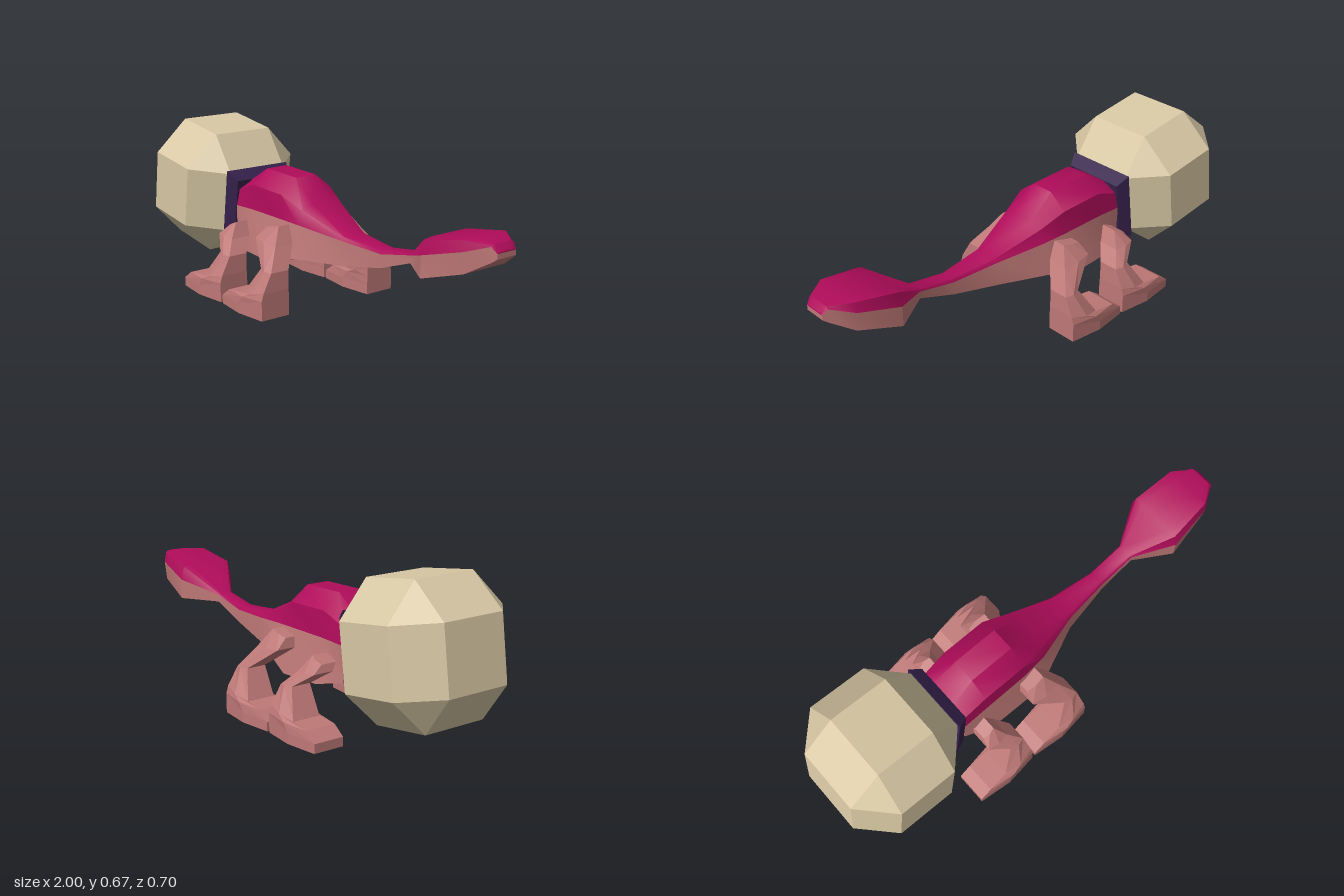
import * as THREE from 'three';
import { toCreasedNormals } from 'three/addons/utils/BufferGeometryUtils.js';
import { ConvexGeometry } from 'three/addons/geometries/ConvexGeometry.js';

const paint = (color, flatShading = true) => new THREE.MeshStandardMaterial({ color, flatShading });

// Skin a list of cross-sections (each counter-clockwise about the direction of travel) and cap both ends
function loft(rings) {
  const n = rings[0].length, last = (rings.length - 1) * n, index = [];
  for (let i = 0; i < rings.length - 1; i++) {
    for (let j = 0; j < n; j++) {
      const a = i * n + j, b = i * n + (j + 1) % n;
      index.push(a, b, b + n, a, b + n, a + n);
    }
  }
  for (let j = 1; j < n - 1; j++) index.push(0, j + 1, j, last, last + j, last + j + 1);
  const geometry = new THREE.BufferGeometry();
  geometry.setAttribute('position', new THREE.Float32BufferAttribute(rings.flat(2), 3));
  geometry.setIndex(index);
  return geometry;
}

function addMesh(parent, name, geometry, material) {
  const mesh = new THREE.Mesh(geometry, material);
  mesh.name = name;
  parent.add(mesh);
  return mesh;
}

// Body stations: x, then height and half width of the top, shoulder, colour line and underside
const BODY = [
  [-0.43, 0.44, 0.06, 0.41, 0.12, 0.345, 0.13, 0.2, 0.125],
  [-0.31, 0.515, 0.05, 0.455, 0.125, 0.35, 0.13, 0.175, 0.165],
  [-0.11, 0.51, 0.05, 0.45, 0.125, 0.35, 0.13, 0.168, 0.168],
  [0, 0.42, 0.05, 0.4, 0.1, 0.345, 0.12, 0.212, 0.15],
  [0.2, 0.335, 0.03, 0.33, 0.05, 0.315, 0.06, 0.215, 0.065],
  [0.4, 0.322, 0.02, 0.318, 0.03, 0.305, 0.035, 0.25, 0.035],
  [0.565, 0.348, 0.02, 0.346, 0.03, 0.34, 0.035, 0.31, 0.035],
  [0.72, 0.455, 0.08, 0.45, 0.115, 0.395, 0.13, 0.31, 0.13],
  [0.9, 0.49, 0.06, 0.485, 0.1, 0.445, 0.11, 0.365, 0.1],
  [0.98, 0.48, 0.03, 0.478, 0.045, 0.472, 0.055, 0.415, 0.055],
  [1, 0.455, 0.03, 0.452, 0.04, 0.45, 0.045, 0.43, 0.045],
];

// Leg levels: toe-side x, y, heel-side x, y, inner z, outer z
const FOOT = [
  [-0.53, 0, -0.25, 0, 0.187, 0.352],
  [-0.53, 0.037, -0.25, 0.045, 0.187, 0.352],
  [-0.48, 0.073, -0.25, 0.08, 0.187, 0.352],
  [-0.39, 0.08, -0.25, 0.11, 0.19, 0.342],
  [-0.325, 0.19, -0.256, 0.185, 0.19, 0.295],
];
const FRONT_THIGH = [
  [-0.4, 0.245, -0.305, 0.24, 0.14, 0.25],
  [-0.39, 0.275, -0.337, 0.3, 0.12, 0.205],
];
const REAR_THIGH = [
  [-0.445, 0.28, -0.31, 0.27, 0.13, 0.235],
  [-0.435, 0.32, -0.35, 0.34, 0.12, 0.185],
];

function legGeometry(thigh) {
  return loft([...FOOT, ...thigh].map(([xf, yf, xb, yb, z0, z1]) => {
    const xm = (xf + xb) / 2, ym = (yf + yb) / 2, inset = (z1 - z0) * 0.1;
    return [
      [xf, yf, z1 - inset], [xm, ym, z1], [xb, yb, z1 - inset],
      [xb, yb, z0 + inset], [xm, ym, z0], [xf, yf, z0 + inset],
    ];
  }));
}

export function createModel() {
  const model = new THREE.Group();
  model.name = 'clubTailedCreature';
  const pink = paint(0xbd7876);

  // Back and belly, meeting along the colour line and running on into the club tail
  const back = BODY.map(([x, ty, tz, sy, sz, my, mz]) => [
    [x, my, -mz], [x, sy, -sz], [x, ty, -tz], [x, ty, tz], [x, sy, sz], [x, my, mz],
  ]);
  const belly = BODY.map(([x, , , , , my, mz, by, bz]) => [
    [x, my, mz], [x, by, bz], [x, by, -bz], [x, my, -mz],
  ]);
  addMesh(model, 'back', toCreasedNormals(loft(back), 0.65), paint(0xb00c5a, false));
  addMesh(model, 'belly', toCreasedNormals(loft(belly), 0.65), paint(0xbd7876, false));

  // Faceted head: a cube with its edges and corners cut off
  const points = [];
  for (const sx of [-1, 1]) for (const sy of [-1, 1]) for (const sz of [-1, 1]) {
    for (const wide of [0, 1, 2]) {
      points.push(new THREE.Vector3(
        sx * (wide === 0 ? 0.256 : 0.127),
        sy * (wide === 1 ? 0.268 : 0.129),
        sz * (wide === 2 ? 0.272 : 0.137)));
    }
  }
  const head = addMesh(model, 'head', new ConvexGeometry(points), paint(0xd8c8a4));
  head.position.set(-0.73, 0.382, 0);
  head.rotation.z = -0.139;

  // Tapered collar between head and body
  const collarRing = (xt, yt, xb, yb, z) => [[xt, yt, -z], [xt, yt, z], [xb, yb, z], [xb, yb, -z]];
  addMesh(model, 'collar', loft([
    collarRing(-0.46, 0.49, -0.5, 0.19, 0.155),
    collarRing(-0.413, 0.452, -0.445, 0.2, 0.132),
  ]), paint(0x36214c));

  // Legs, mirrored across the body
  for (const side of [1, -1]) {
    const legs = new THREE.Group();
    legs.name = side > 0 ? 'nearLegs' : 'farLegs';
    addMesh(legs, 'frontLeg', legGeometry(FRONT_THIGH), pink);
    addMesh(legs, 'rearLeg', legGeometry(REAR_THIGH), pink).position.x = 0.294;
    legs.scale.z = side;
    model.add(legs);
  }
  return model;
}
